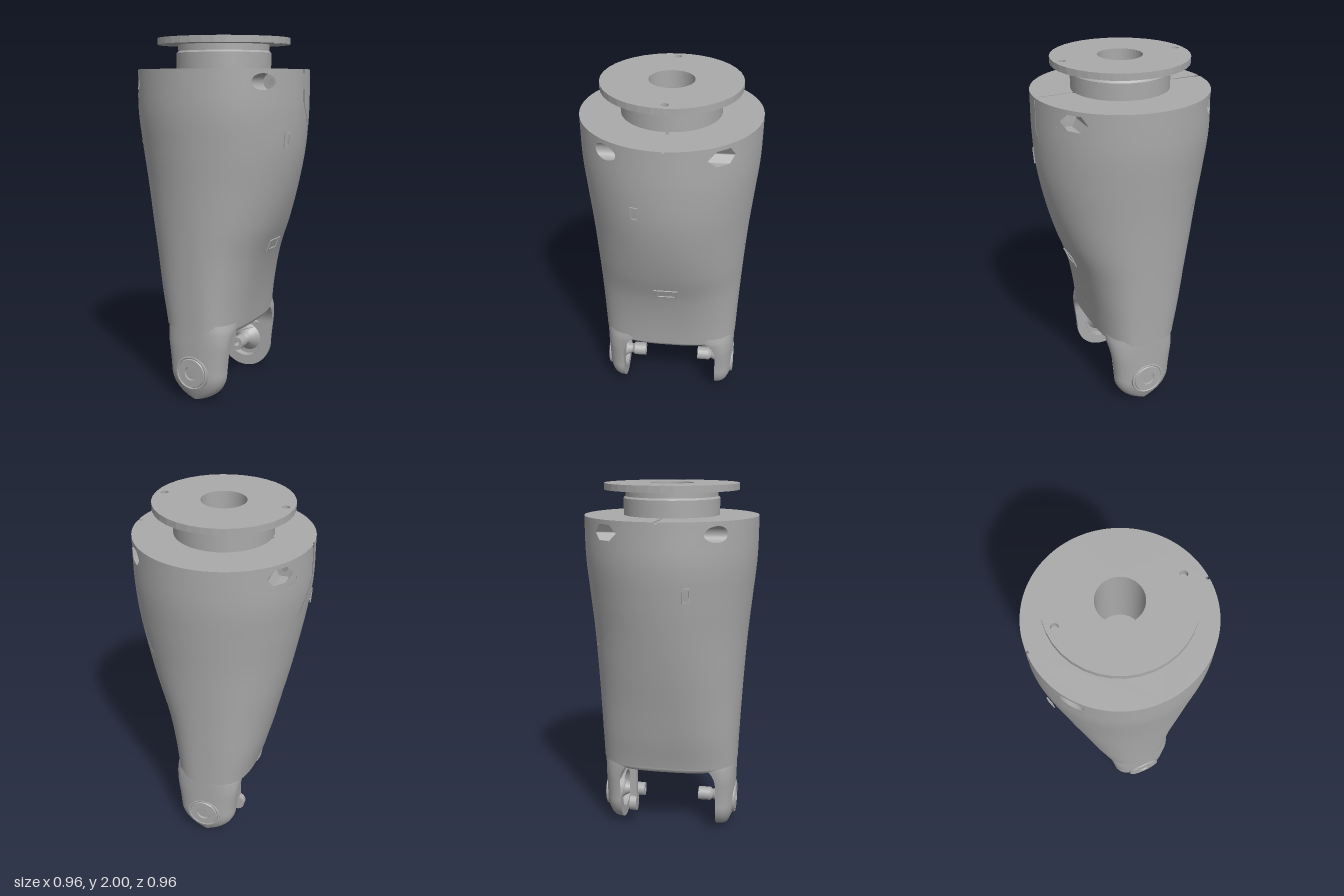
import * as THREE from 'three';
import { ParametricGeometry } from 'three/addons/geometries/ParametricGeometry.js';

const PI = Math.PI, lerp = THREE.MathUtils.lerp;

// Body half sizes and squareness, one value every 0.2 in height from y = 0.2
const curve = (vals) => new THREE.SplineCurve(vals.map((v, i) => new THREE.Vector2(i, v)));
const widthLeft = curve([0.19, 0.21, 0.24, 0.29, 0.365, 0.425, 0.465, 0.48, 0.48, 0.48]);
const widthRight = curve([0.21, 0.24, 0.29, 0.335, 0.38, 0.42, 0.455, 0.48, 0.48, 0.48]);
const depth = curve([0.385, 0.392, 0.4, 0.41, 0.422, 0.437, 0.457, 0.476, 0.48, 0.48]);
const power = curve([3.4, 3, 2.7, 2.4, 2.2, 2.05, 2, 2, 2, 2]);

const polar = (a, w, d, n) =>
  Math.pow(Math.pow(Math.abs(Math.cos(a) / w), n) + Math.pow(Math.abs(Math.sin(a) / d), n), -1 / n);

// Point on the body skin at angle a and height y
function skin(a, y, target, k = 1) {
  const at = (c) => c.getPoint((y - 0.2) / 1.8).y;
  const r = k * polar(a, Math.cos(a) > 0 ? at(widthLeft) : at(widthRight), at(depth), at(power));
  return target.set(r * Math.cos(a), y, r * Math.sin(a));
}

// Height of the slanted panel joint at angle a on the back
const probe = new THREE.Vector3();
function joint(a) {
  let y = 1.4;
  for (let i = 0; i < 12; i++) y = 1.66 + 1.4 * skin(a, y, probe).z;
  return y;
}

export function createModel() {
  const model = new THREE.Group();
  const grey = new THREE.MeshStandardMaterial({ color: 0xaaaaaa, side: THREE.DoubleSide });
  grey.name = 'grey plastic';

  const add = (name, geo, parent = model) => {
    const mesh = new THREE.Mesh(geo, grey);
    mesh.name = name;
    parent.add(mesh);
    return mesh;
  };
  const param = (name, f, nu, nv, parent) => add(name, new ParametricGeometry(f, nu, nv), parent);
  const box = (name, w, h, d, x, y, z, parent) =>
    add(name, new THREE.BoxGeometry(w, h, d).translate(x, y, z), parent);
  // Piece of skin between two angles, with top and bottom heights as functions of the angle
  const tile = (name, a0, a1, top, bottom, nu, nv, k = 1) => param(name, (u, v, t) => {
    const a = lerp(a0, a1, u);
    skin(a, lerp(top(a), bottom(a), v), t, k);
  }, nu, nv);
  const turned = (pts, segs = 32) =>
    new THREE.LatheGeometry(pts.map((p) => new THREE.Vector2(...p)), segs).toNonIndexed();
  const flatTurned = (pts, segs) => {
    // One lathe band per profile edge keeps every rim sharp
    return pts.slice(1).map((p, i) => turned([pts[i], p], segs));
  };

  const RIM = 1.83, BAND = 1.7, FLOOR = 0.42, GAP = 0.03;

  // Main shell and back panel
  tile('frontShell', 0, PI, () => BAND, () => FLOOR, 48, 40);
  tile('backShell', -PI, 0, joint, () => FLOOR, 48, 40);
  tile('backPanel', -PI + GAP, -GAP, () => BAND, (a) => joint(a) + 0.012, 48, 16);
  tile('jointLining', -PI, 0, (a) => joint(a) + 0.04, (a) => joint(a) - 0.04, 48, 2, 0.98);

  // Top band with four bolt pockets: round in front, six-sided at the back
  const aHole = Math.acos(0.38 / 0.48), half = 0.24, yHole = 1.765, hHole = 0.065;
  for (const s of [1, -1]) {
    const start = s > 0 ? 0 : GAP;
    const spans = [[start, aHole - half], [aHole + half, PI - aHole - half], [PI - aHole + half, PI - start]];
    for (const [a0, a1] of spans) tile('topBand', s * a0, s * a1, () => RIM, () => BAND, 16, 2);
    const radius = (a) => s > 0 ? 0.042
      : 0.048 * Math.cos(PI / 6) / Math.cos(((a + 4 * PI) % (PI / 3)) - PI / 6);
    for (const m of [1, -1]) {
      const pocket = new THREE.Group();
      pocket.name = 'boltPocket';
      pocket.scale.set(m, 1, s);
      model.add(pocket);
      const rimPoint = (a) => [0.38 + radius(a) * Math.cos(a), yHole + radius(a) * Math.sin(a)];
      param('pocketSurround', (u, v, t) => {
        const a = 2 * PI * u, c = Math.cos(a), n = Math.sin(a);
        const q = 1 / Math.max(Math.abs(c), Math.abs(n));
        const [x, y] = rimPoint(a);
        const ang = lerp(aHole - half * c * q, Math.acos(x / 0.48), v);
        t.set(0.48 * Math.cos(ang), lerp(yHole + hHole * n * q, y, v), 0.48 * Math.sin(ang));
      }, 48, 4, pocket);
      param('pocketWall', (u, v, t) => {
        const [x, y] = rimPoint(2 * PI * u);
        t.set(x, y, lerp(Math.sqrt(0.2304 - x * x), 0.2, v));
      }, 48, 1, pocket);
      add('pocketFloor', new THREE.RingGeometry(0.017, 0.05, 24).translate(0.38, yHole, 0.2), pocket);
    }
  }

  // Shoulder, cut by a narrow slot on both sides
  for (const s of [1, -1]) {
    const g = s > 0 ? 0 : GAP;
    const ring = new THREE.Shape();
    ring.absarc(0, 0, 0.48, g, PI - g, false);
    ring.absarc(0, 0, 0.25, PI - g * 1.9, g * 1.9, true);
    const mesh = add('shoulder', new THREE.ShapeGeometry(ring, 32).rotateX(-PI / 2).translate(0, RIM, 0));
    mesh.scale.z = -s;
    box('slotLining', 0.2, 0.01, 0.06, s * 0.365, 1.812, 0);
    box('slotLining', 0.01, 0.17, 0.06, s * 0.463, 1.733, 0);
  }

  // Neck, bore and mounting flange
  const neck = [[0.265, 1.82], [0.265, 1.92], [0.255, 1.93], [0.255, 1.97]];
  for (const g of flatTurned(neck, 36)) add('neck', g);
  add('bore', new THREE.CylinderGeometry(0.12, 0.12, 0.4, 36, 1, true).translate(0, 1.78, 0));
  add('boreFloor', new THREE.CircleGeometry(0.12, 36).rotateX(-PI / 2).translate(0, 1.58, 0));
  box('boreWeb', 0.238, 0.06, 0.02, 0, 1.61, 0);
  const flange = new THREE.Shape().absarc(0, 0, 0.37, 0, 2 * PI);
  for (const [x, r] of [[0, 0.12], [0.325, 0.02], [-0.325, 0.02]]) {
    flange.holes.push(new THREE.Path().absarc(x, 0, r, 0, 2 * PI));
  }
  add('flange', new THREE.ExtrudeGeometry(flange, { depth: 0.035, bevelEnabled: false, curveSegments: 18 })
    .rotateX(-PI / 2).translate(0, 1.965, 0));

  // Bulging underside between the prongs
  param('underside', (u, v, t) => {
    skin(2 * PI * u, FLOOR, t).multiplyScalar(1 - v);
    t.y = FLOOR - 0.055 * Math.sqrt(1 - (1 - v) ** 4);
  }, 64, 10);

  // Small side openings, drawn as thin frames on the skin
  const frame = (name, m, z0, y0, w, h, rise) => {
    const shape = new THREE.Shape();
    const pts = [[-w, -h], [w, -h], [w, h], [-w, h]];
    shape.setFromPoints(pts.map((p) => new THREE.Vector2(...p)));
    const k = 0.72;
    shape.holes.push(new THREE.Path(pts.map(([x, y]) => new THREE.Vector2(x * k, y * k))));
    const geo = new THREE.ExtrudeGeometry(shape, { depth: 0.006, bevelEnabled: false });
    const p = skin(Math.asin(z0 / 0.48), y0, new THREE.Vector3());
    const q = skin(Math.asin(z0 / 0.48), y0 + 0.05, new THREE.Vector3());
    geo.rotateX(Math.atan2(q.x - p.x, 0.05)).rotateY(PI / 2 - rise).translate(p.x, y0, p.z);
    add(name, geo).scale.x = m;
  };
  for (const m of [1, -1]) frame('sideWindow', m, 0.145, 1.46, 0.022, 0.04, 0.31);
  frame('lowerSlot', 1, 0, 0.865, 0.066, 0.034, 0);

  // Prongs: rounded outside, flat inside with a pocket and a pivot peg
  const PIVOT = 0.17;
  const prongWidth = (y) => y < PIVOT
    ? Math.max(0.003, Math.sqrt(Math.max(0, PIVOT ** 2 - (PIVOT - y) ** 2)))
    : PIVOT + 0.03 * Math.min(1, (y - PIVOT) / 0.24) ** 1.3;
  const innerZ = (y) => 0.28 - 0.06 * Math.max(0, (y - 0.3) / 0.12) ** 2;
  const outerZ = (y) => 0.34 + 0.04 * Math.sin(Math.min(1, y / 0.15) * PI / 2) + 0.024 * y;
  for (const s of [1, -1]) {
    const prong = new THREE.Group();
    prong.name = s > 0 ? 'frontProng' : 'backProng';
    prong.scale.z = s;
    model.add(prong);

    param('prongOuter', (u, v, t) => {
      const y = 0.45 * (1 - v) ** 2, a = PI * u;
      const r = polar(a, prongWidth(y), outerZ(y) - innerZ(y), 2.5);
      t.set(r * Math.cos(a), y, innerZ(y) + r * Math.sin(a));
    }, 32, 32, prong);
    param('prongFillet', (u, v, t) => {
      const y = lerp(0.3, 0.45, v);
      t.set(lerp(-1, 1, u) * prongWidth(y), y, innerZ(y));
    }, 8, 8, prong);

    const face = new THREE.Shape();
    face.moveTo(-prongWidth(0.3), 0.3);
    face.absarc(0, PIVOT, PIVOT, PI, 2 * PI, false);
    face.lineTo(prongWidth(0.3), 0.3);
    face.holes.push(new THREE.Path().absarc(0, PIVOT, 0.11, 0, 2 * PI));
    add('prongInner', new THREE.ShapeGeometry(face, 24).translate(0, 0, 0.28), prong);

    const pivot = new THREE.Group();
    pivot.name = 'pivot';
    pivot.position.y = PIVOT;
    pivot.rotation.x = PI / 2;
    prong.add(pivot);
    const pocket = [[0.11, 0.28], [0.11, 0.325], [0.085, 0.325], [0.045, 0.285], [0.028, 0.25],
      [0.04, 0.235], [0.04, 0.165], [0.016, 0.165], [0.016, 0.3]];
    for (const g of flatTurned(pocket, 20)) add('pivotPeg', g, pivot);
    const cap = [[0.018, 0.38], [0.038, 0.384], [0.04, 0.391], [0.08, 0.391], [0.084, 0.385],
      [0.09, 0.389], [0.098, 0.386], [0.1, 0.36]];
    for (const g of flatTurned(cap, 32)) add('pivotCap', g, pivot);
  }

  // Hanging lever beside the back peg
  box('leverArm', 0.04, 0.27, 0.04, -0.15, 0.285, -0.203);
  add('leverEnd', new THREE.CylinderGeometry(0.05, 0.05, 0.04, 24).rotateX(PI / 2)
    .translate(-0.15, 0.155, -0.203));

  return model;
}
